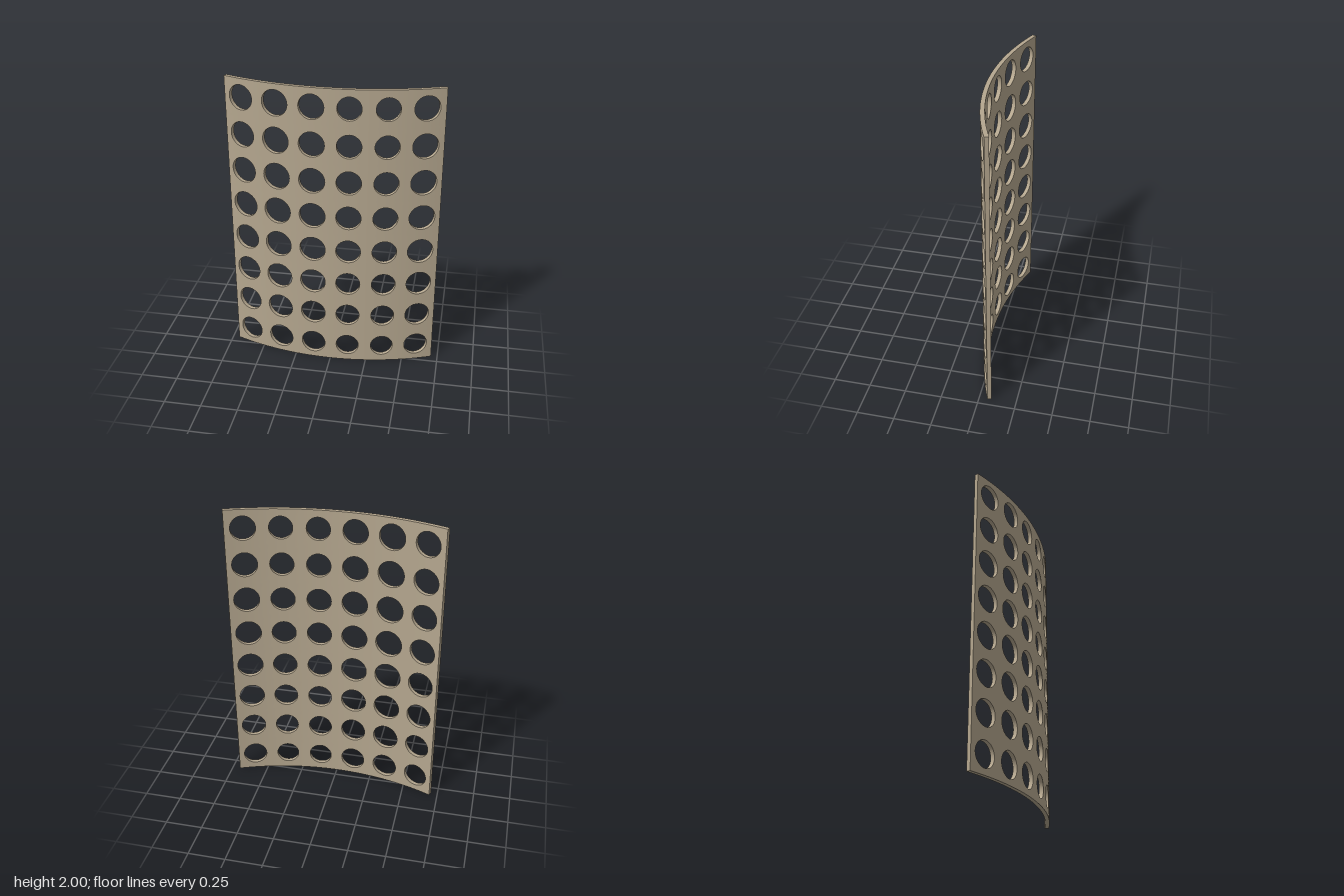
import * as THREE from 'three';
import { toCreasedNormals } from 'three/addons/utils/BufferGeometryUtils.js';

const COLS = 6, ROWS = 8, HEIGHT = 2;
const ARC = Math.PI / 4;            // the panel spans 45 degrees
const R_OUT = 1.842, R_IN = 1.814;  // convex front, concave back
const SEGMENTS = 40, RINGS = 4;     // around each hole, and from hole to cell edge

// Hole radius differs a little from column to column and swells mid-height
const COLUMN_RADIUS = [0.084, 0.087, 0.083, 0.078, 0.077, 0.082];
const holeRadius = (c, r) => COLUMN_RADIUS[c] + 0.005 * Math.sin((Math.PI * r) / (ROWS - 1));

// Wraps a flat point (distance along the arc, height) onto a cylinder
function bend([u, v], radius) {
  const a = u / R_OUT;
  const zShift = (R_OUT + R_IN * Math.cos(ARC / 2)) / 2;
  return [radius * Math.sin(a), v, radius * Math.cos(a) - zShift];
}

function perforatedPanel() {
  const positions = [];
  const quad = (a, b, c, d) => positions.push(...a, ...b, ...c, ...a, ...c, ...d);
  const width = R_OUT * ARC, cellW = width / COLS, cellH = HEIGHT / ROWS;

  for (let c = 0; c < COLS; c++) for (let r = 0; r < ROWS; r++) {
    const cu = (c + 0.5) * cellW - width / 2, cv = (r + 0.5) * cellH;
    const radius = holeRadius(c, r);

    // Point between the round hole (ring 0) and the rectangular cell edge
    const point = (k, j) => {
      const a = ((k % SEGMENTS) / SEGMENTS) * Math.PI * 2, t = j / RINGS;
      const x = Math.cos(a), y = Math.sin(a), m = Math.max(Math.abs(x), Math.abs(y));
      return [
        cu + THREE.MathUtils.lerp(radius * x, (cellW / 2) * x / m, t),
        cv + THREE.MathUtils.lerp(radius * y, (cellH / 2) * y / m, t),
      ];
    };
    const front = (k, j) => bend(point(k, j), R_OUT);
    const back = (k, j) => bend(point(k, j), R_IN);

    for (let k = 0; k < SEGMENTS; k++) {
      // Front and back skins
      for (let j = 0; j < RINGS; j++) {
        quad(front(k, j), front(k, j + 1), front(k + 1, j + 1), front(k + 1, j));
        quad(back(k, j), back(k + 1, j), back(k + 1, j + 1), back(k, j + 1));
      }
      // Hole wall
      quad(front(k, 0), front(k + 1, 0), back(k + 1, 0), back(k, 0));
      // Outer rim, only where the cell meets the panel border
      const [u0, v0] = point(k, RINGS), [u1, v1] = point(k + 1, RINGS);
      const u = (u0 + u1) / 2, v = (v0 + v1) / 2;
      if (Math.abs(u) > width / 2 - 1e-5 || v < 1e-5 || v > HEIGHT - 1e-5) {
        quad(front(k, RINGS), back(k, RINGS), back(k + 1, RINGS), front(k + 1, RINGS));
      }
    }
  }
  const geometry = new THREE.BufferGeometry();
  geometry.setAttribute('position', new THREE.Float32BufferAttribute(positions, 3));
  return toCreasedNormals(geometry, 0.6);
}

export function createModel() {
  const group = new THREE.Group();
  group.name = 'curvedScreen';
  const tan = new THREE.MeshStandardMaterial({ color: 0xb5a78f });
  tan.name = 'warm tan';
  const panel = new THREE.Mesh(perforatedPanel(), tan);
  panel.name = 'perforatedPanel';
  group.add(panel);
  return group;
}
